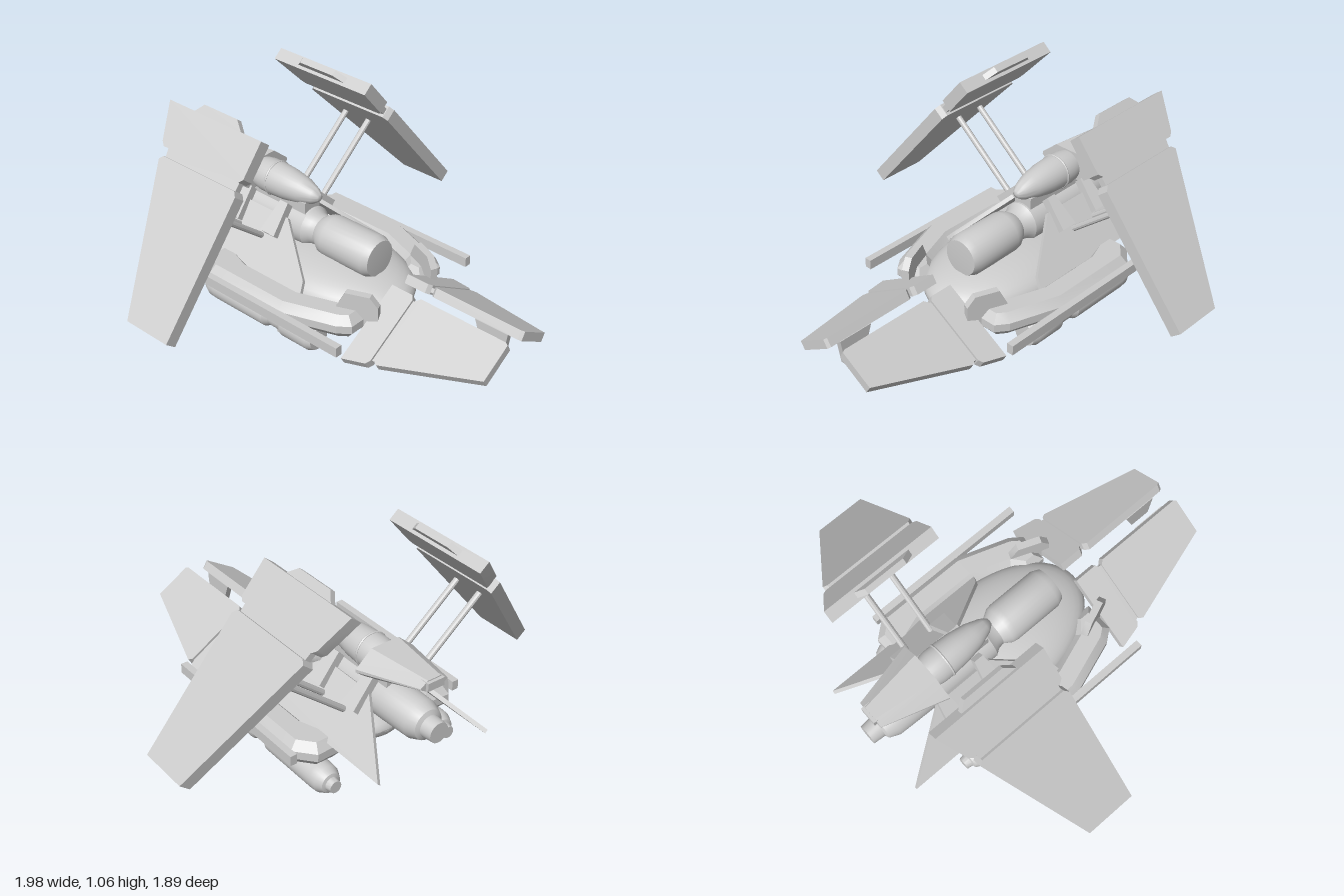
import * as THREE from 'three';
import { toCreasedNormals } from 'three/addons/utils/BufferGeometryUtils.js';

const grey = new THREE.MeshStandardMaterial({ color: 0xcccccc });

export function createModel() {
  const model = new THREE.Group();

  const add = (name, geo, crease = 0.5) => {
    const mesh = new THREE.Mesh(toCreasedNormals(geo, crease), grey);
    mesh.name = name;
    model.add(mesh);
  };

  // Reflect a geometry in x, reversing the corner order of every triangle
  const mirrored = (geo) => {
    const g = geo.index ? geo.toNonIndexed() : geo.clone();
    g.scale(-1, 1, 1);
    for (const attr of Object.values(g.attributes)) {
      const n = attr.itemSize, a = attr.array;
      for (let i = 0; i < a.length; i += 3 * n)
        for (let k = 0; k < n; k++) [a[i + n + k], a[i + 2 * n + k]] = [a[i + 2 * n + k], a[i + n + k]];
    }
    return g;
  };
  const addPair = (name, geo, crease) => {
    add('left' + name, geo, crease);
    add('right' + name, mirrored(geo), crease);
  };

  const shapeOf = (pts) => new THREE.Shape(pts.map(([x, y]) => new THREE.Vector2(x, y)));

  // Slanted plate: outline in (distance along direction, z), centred on its thickness
  const plate = (pts, [ox, oy], [dx, dy], thick) => {
    const len = Math.hypot(dx, dy), ux = dx / len, uy = dy / len;
    const g = new THREE.ExtrudeGeometry(shapeOf(pts), { depth: thick, bevelEnabled: false });
    g.translate(0, 0, -thick / 2);
    return g.applyMatrix4(new THREE.Matrix4().makeBasis(
      new THREE.Vector3(ux, uy, 0), new THREE.Vector3(0, 0, 1), new THREE.Vector3(uy, -ux, 0),
    ).setPosition(ox, oy, 0));
  };

  // Turned body lying along z, profile as [radius, z] from back to front
  const turned = (profile, x, y) => new THREE.LatheGeometry(
    profile.map(([r, z]) => new THREE.Vector2(r, z)), 28).rotateX(Math.PI / 2).translate(x, y, 0);

  const rod = (a, b, r) => new THREE.TubeGeometry(
    new THREE.LineCurve3(new THREE.Vector3(...a), new THREE.Vector3(...b)), 1, r, 10);

  // Hull: shallow wide belly with a narrower dome
  add('hullBelly', new THREE.SphereGeometry(1, 48, 16, 0, Math.PI * 2, Math.PI / 2, Math.PI / 2)
    .scale(0.4, 0.13, 0.47).translate(0, 0.23, -0.16));
  add('hullDome', new THREE.SphereGeometry(1, 48, 24).scale(0.3, 0.13, 0.48).translate(0, 0.225, -0.15));

  // Armoured side frames around the hull, with outer rails
  const frame = new THREE.ExtrudeGeometry(shapeOf([
    [0.2, 0.24], [0.3, 0.24], [0.33, 0.2], [0.42, -0.06], [0.42, -0.5], [0.36, -0.57],
    [0.27, -0.57], [0.33, -0.4], [0.33, -0.06], [0.26, 0.14], [0.2, 0.19],
  ]), { depth: 0.04, bevelThickness: 0.04, bevelSize: 0.035, bevelSegments: 1 });
  addPair('SideFrame', frame.rotateX(Math.PI / 2).translate(0, 0.245, 0), 0.3);
  const rail = new THREE.BoxGeometry(0.035, 0.05, 0.88).translate(0.467, 0.225, -0.11);
  addPair('Rail', rail);
  addPair('RailMount', new THREE.BoxGeometry(0.06, 0.03, 0.4).translate(0.44, 0.225, -0.25));

  // Blocks standing on the nose of the hull
  const block = plate([[0.2, 0.0], [0.2, 0.13], [0.16, 0.18], [0.04, 0.18], [0, 0.1], [0, 0]],
    [0, 0], [1, 0], 0.035);
  block.rotateX(-Math.PI / 2).rotateY(-Math.PI / 2 - 0.38);
  block.computeBoundingBox();
  const c = block.boundingBox.getCenter(new THREE.Vector3());
  addPair('NoseBlock', block.translate(0.235 - c.x, 0.28 - c.y, 0.24 - c.z));

  // Forked nose plates, high on the inside and split by a groove
  const noseOrigin = [0.045, 0.328], noseDir = [0.85, -0.52];
  const nosePiece = (name, pts, thick) => addPair(name, plate(pts, noseOrigin, noseDir, thick));
  nosePiece('NosePlate', [[0, 0.46], [0.02, 0.44], [0.35, 0.44], [0.365, 0.46], [0.2, 0.945], [0.01, 0.945], [0, 0.93]], 0.045);
  nosePiece('NoseGroove', [[0.02, 0.4], [0.36, 0.4], [0.345, 0.46], [0.02, 0.46]], 0.022);
  nosePiece('NoseRoot', [[0, 0.29], [0.415, 0.29], [0.382, 0.41], [0.36, 0.425], [0.02, 0.425], [0, 0.41]], 0.045);
  const tab = plate([[0, 0.7], [0.14, 0.75], [0.14, 0.86], [0, 0.88]], [0.045, 0.31], [-0.01, -1], 0.03);
  addPair('NoseTab', tab);

  // Main engine with a necked front and a rear nozzle
  add('mainEngine', turned([
    [0, -0.95], [0.05, -0.95], [0.055, -0.89], [0.075, -0.88], [0.095, -0.83], [0.1, -0.66], [0.1, -0.25],
    [0.08, -0.22], [0.075, -0.19], [0.1, -0.15], [0.105, -0.12], [0.105, 0.13], [0.09, 0.165], [0, 0.17],
  ], 0, 0.405));

  // Cockpit on its pylon
  add('canopy', turned([
    [0, -0.62], [0.075, -0.6], [0.085, -0.54], [0.085, -0.48], [0.08, -0.4], [0.065, -0.31],
    [0.04, -0.24], [0.018, -0.21], [0, -0.205],
  ], 0, 0.58), 0.9);
  add('canopyBand', new THREE.TorusGeometry(0.084, 0.006, 6, 32).translate(0, 0.58, -0.49));
  add('cockpitPylon', new THREE.BoxGeometry(0.1, 0.1, 0.4).translate(0, 0.5, -0.46));

  // Faceted cowl: two eight-sided sections joined and tapered toward the back
  const cowl = new THREE.ExtrudeGeometry(shapeOf([
    [-0.09, 0.52], [0.09, 0.52], [0.16, 0.575], [0.16, 0.59], [0.075, 0.665], [-0.075, 0.665], [-0.16, 0.59], [-0.16, 0.575],
  ]), { depth: 0.32, bevelEnabled: false }).translate(0, 0, -0.9);
  const p = cowl.attributes.position;
  for (let i = 0; i < p.count; i++) {
    if (p.getZ(i) < -0.8) p.setXY(i, p.getX(i) * 0.46, 0.66 + (p.getY(i) - 0.665) * 0.36);
  }
  cowl.computeVertexNormals();
  add('cockpitCowl', cowl, 0.2);
  add('cowlTail', new THREE.BoxGeometry(0.09, 0.04, 0.05).translate(0, 0.635, -0.89));

  // Sloping body fins that carry the wings, and the braces above them
  addPair('BodyFin', plate([
    [0, -0.05], [0.06, -0.07], [0.29, -0.31], [0.29, -0.62], [0, -0.93],
  ], [0.305, 0.26], [-0.66, 0.72], 0.02));
  for (const z of [-0.31, -0.55])
    addPair('FinBrace', plate([[0, z], [0.17, z - 0.02], [0.17, z - 0.07], [0, z - 0.09]],
      [0.2, 0.41], [-0.72, 0.7], 0.045));

  // Tilted wings: large lower panel, thin waist, upper panel and tip
  const wingOrigin = [0.968, 0.267], wingDir = [-0.64, 0.77];
  const wingPiece = (name, pts, thick) => addPair(name, plate(pts, wingOrigin, wingDir, thick));
  wingPiece('WingPanel', [[0, -0.21], [0.71, -0.21], [0.735, -0.23], [0.735, -0.69], [0.715, -0.71], [0, -0.47]], 0.063);
  wingPiece('WingWaist', [[0.73, -0.235], [0.79, -0.235], [0.79, -0.7], [0.73, -0.69]], 0.032);
  wingPiece('UpperWingPanel', [[0.775, -0.23], [0.795, -0.21], [0.98, -0.21], [0.98, -0.8], [0.795, -0.735], [0.775, -0.715]], 0.063);
  wingPiece('WingTip', [[0.9, -0.35], [0.98, -0.35], [1.025, -0.4], [1.025, -0.61], [0.98, -0.65], [0.9, -0.65]], 0.03);

  // Twin struts between each fin and wing
  for (const z of [-0.405, -0.555]) addPair('WingStrut', rod([0.2, 0.385, z], [0.585, 0.705, z], 0.015));

  // Underslung pods with keels and pylons
  addPair('Pod', turned([
    [0, -0.67], [0.03, -0.67], [0.035, -0.64], [0.05, -0.635], [0.068, -0.6], [0.071, -0.56], [0.071, -0.23],
    [0.055, -0.205], [0.055, -0.14], [0.071, -0.11], [0.071, 0.05], [0.058, 0.078], [0, 0.08],
  ], 0.328, 0.085));
  addPair('PodKeel', plate([[0, -0.11], [0.085, -0.14], [0.085, -0.18], [0, -0.21]], [0.328, 0.085], [0, -1], 0.025));
  addPair('PodPylon', plate([[0, -0.06], [0.13, -0.1], [0.13, -0.45], [0, -0.5]], [0.25, 0.2], [0.6, -0.75], 0.05));

  return model;
}
